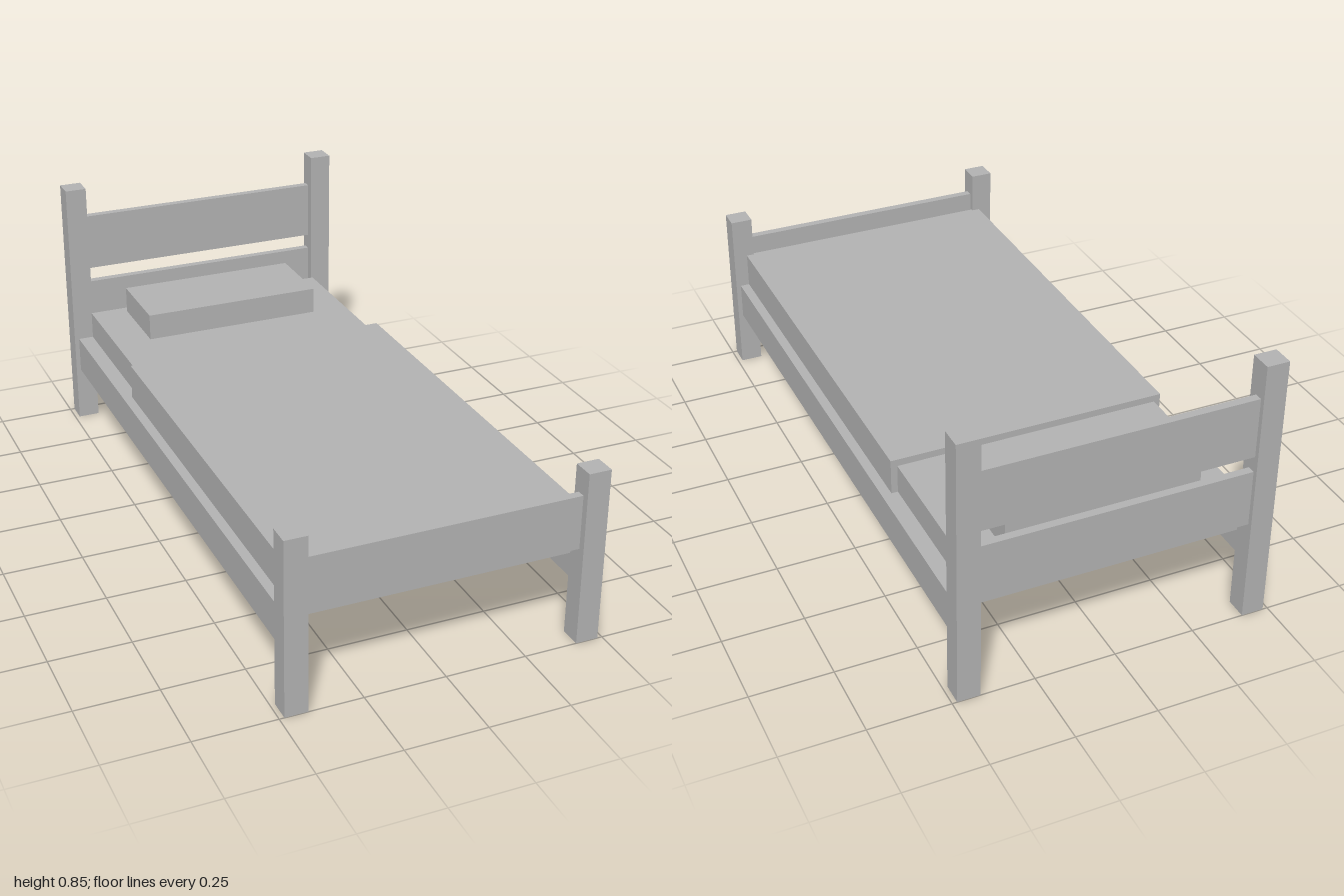
import * as THREE from 'three';

export function createModel() {
  const bed = new THREE.Group();
  bed.name = 'bed';
  const grey = new THREE.MeshStandardMaterial({ color: 0xb2b2b2 });
  grey.name = 'plain grey';

  // Box given by its lower and upper limits on each axis
  const addBox = (name, [x0, x1], [y0, y1], [z0, z1]) => {
    const mesh = new THREE.Mesh(new THREE.BoxGeometry(x1 - x0, y1 - y0, z1 - z0), grey);
    mesh.position.set((x0 + x1) / 2, (y0 + y1) / 2, (z0 + z1) / 2);
    mesh.name = name;
    bed.add(mesh);
  };
  const mirrored = (side, inner, outer) => (side > 0 ? [inner, outer] : [-outer, -inner]);

  // Posts and side rails
  for (const [side, label] of [[1, 'left'], [-1, 'right']]) {
    const postX = mirrored(side, 0.415, 0.485);
    addBox(`${label}HeadPost`, postX, [0, 0.85], [-1, -0.932]);
    addBox(`${label}FootPost`, postX, [0, 0.55], [0.932, 1]);
    addBox(`${label}SideRail`, mirrored(side, 0.42, 0.47), [0.183, 0.302], [-0.932, 0.932]);
  }

  // Headboard and footboard planks
  const span = [-0.415, 0.415];
  addBox('upperHeadboard', span, [0.55, 0.74], [-0.985, -0.96]);
  addBox('lowerHeadboard', span, [0.32, 0.5], [-0.985, -0.96]);
  addBox('footboard', span, [0.302, 0.472], [0.953, 0.978]);

  // Bedding
  addBox('mattress', [-0.42, 0.42], [0.262, 0.393], [-0.93, 0.93]);
  addBox('blanket', [-0.44, 0.44], [0.273, 0.415], [-0.42, 0.94]);
  addBox('pillow', [-0.3, 0.3], [0.393, 0.48], [-0.9, -0.64]);

  return bed;
}
